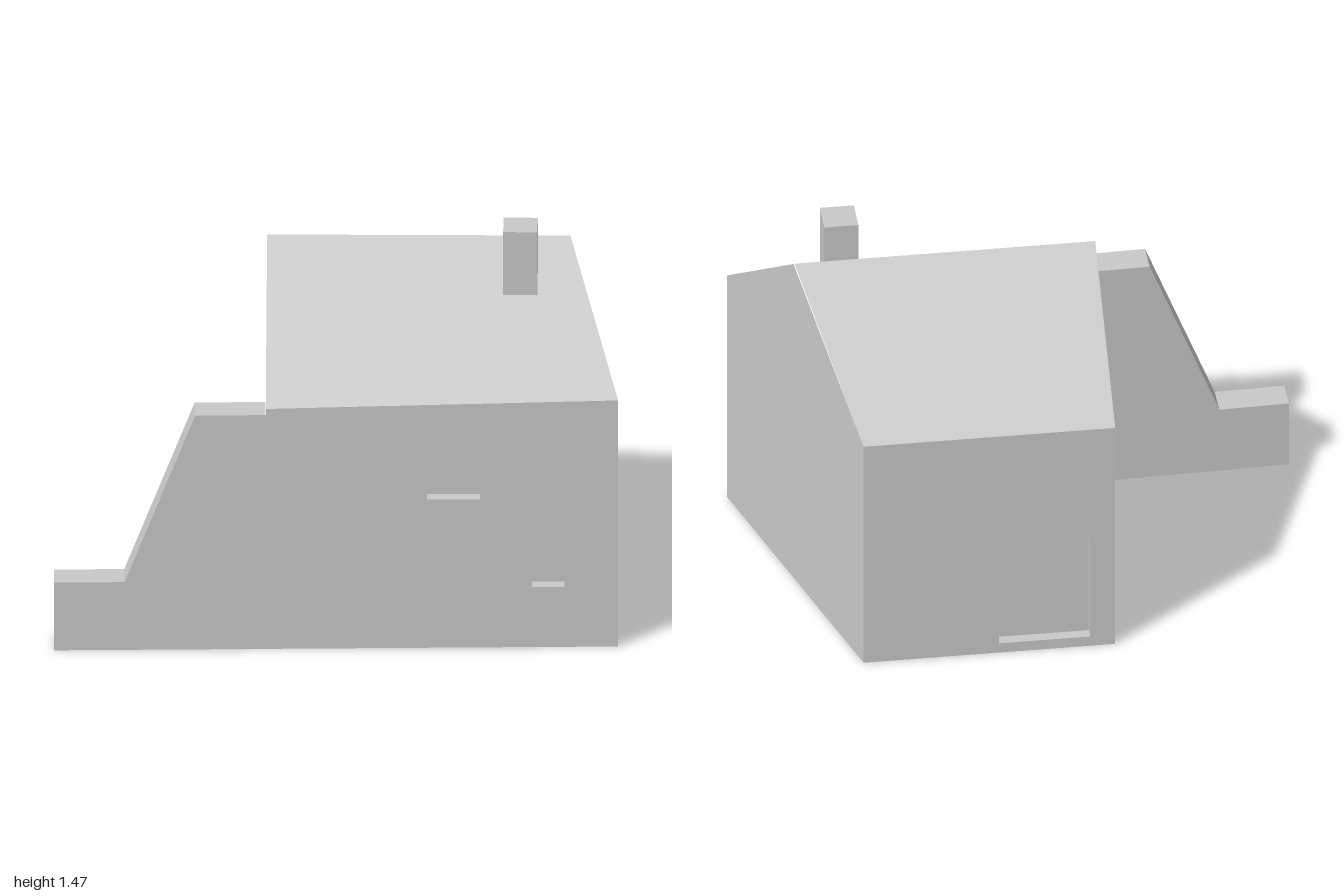
import * as THREE from 'three';

const stone = new THREE.MeshStandardMaterial({ color: 0xc8c8c8 });
stone.name = 'pale grey stone';

const RIDGE_Y = 1.365, RIDGE_Z = -0.01, PITCH = 0.773;
const roofY = (z) => RIDGE_Y - Math.abs(z - RIDGE_Z) * PITCH;

// footprint corners as [x, z]
const frontLeft = [1, 0.51], frontRight = [-0.25, 0.541];
const backRight = [-0.25, -0.56], backLeft = [0.65, -0.56], wingEnd = [-1, 0.56];
const ridgeRight = [-0.25, RIDGE_Z], ridgeLeft = [0.826, RIDGE_Z];

function mesh(name, geometry) {
  const m = new THREE.Mesh(geometry, stone);
  m.name = name;
  return m;
}

// flat-shaded geometry from a list of convex polygons of [x, y, z]
function polygons(...faces) {
  const pos = [];
  for (const f of faces)
    for (let i = 1; i < f.length - 1; i++) pos.push(...f[0], ...f[i], ...f[i + 1]);
  const g = new THREE.BufferGeometry();
  g.setAttribute('position', new THREE.Float32BufferAttribute(pos, 3));
  g.computeVertexNormals();
  return g;
}

const toShape = (pts) => new THREE.Shape(pts.map((p) => new THREE.Vector2(...p)));

// counter-clockwise opening outlines in wall coordinates
const rect = (u0, u1, y0, y1) => [[u0, y0], [u1, y0], [u1, y1], [u0, y1]];
const pointed = (u0, u1, y0, spring, apex) =>
  [[u0, y0], [u1, y0], [u1, spring], [(u0 + u1) / 2, apex], [u0, spring]];

// place a group so its local x runs from a to b and local z points outward
function alongWall(group, a, b) {
  group.position.set(a[0], 0, a[1]);
  group.rotation.y = -Math.atan2(b[1] - a[1], b[0] - a[0]);
  return group;
}

// wall running from a to b (left to right from outside) with recessed openings
function wall(name, a, b, outline, openings = [], depth = 0.045) {
  const group = new THREE.Group();
  group.name = name;
  const shape = toShape(outline);
  for (const o of openings) shape.holes.push(toShape(o));
  group.add(mesh(name + 'Face', new THREE.ShapeGeometry(shape)));
  for (const o of openings) {
    const reveals = o.map((p, i) => {
      const q = o[(i + 1) % o.length];
      return [[...p, 0], [...q, 0], [...q, -depth], [...p, -depth]];
    });
    group.add(mesh('recess', polygons(...reveals, o.map((p) => [...p, -depth]))));
  }
  return alongWall(group, a, b);
}

const dist = (a, b) => Math.hypot(b[0] - a[0], b[1] - a[1]);

// wall outline whose top follows the roof, with an optional ridge point
function outline(a, b, ridge) {
  const len = dist(a, b);
  const pts = [[0, 0], [len, 0], [len, roofY(b[1])]];
  if (ridge) pts.push([dist(a, ridge), RIDGE_Y]);
  pts.push([0, roofY(a[1])]);
  return pts;
}

export function createModel() {
  const model = new THREE.Group();
  model.name = 'house';

  // four walls
  model.add(wall('frontWall', frontRight, frontLeft, outline(frontRight, frontLeft), [
    rect(0.572, 0.76, 0.58, 0.75),
    rect(0.945, 1.06, 0.235, 0.41),
  ]));
  model.add(wall('backWall', backLeft, backRight, outline(backLeft, backRight), [
    pointed(0.485, 0.81, 0.04, 0.467, 0.66),
  ], 0.04));
  model.add(wall('gableWall', backRight, frontRight, outline(backRight, frontRight, ridgeRight), [
    rect(0.61, 0.755, 0.7, 0.875),
    pointed(0.79, 0.905, 0.405, 0.575, 0.635),
    pointed(0.62, 0.76, 0.037, 0.284, 0.37),
  ], 0.055));
  model.add(wall('slantedWall', frontLeft, backLeft, outline(frontLeft, backLeft, ridgeLeft)));

  // roof slopes and underside
  const eave = ([x, z]) => [x, roofY(z), z];
  model.add(mesh('roof', polygons(
    [eave(frontRight), eave(frontLeft), eave(ridgeLeft), eave(ridgeRight)],
    [eave(backLeft), eave(backRight), eave(ridgeRight), eave(ridgeLeft)],
  )));
  model.add(mesh('floor', polygons(
    [frontRight, backRight, backLeft, frontLeft].map(([x, z]) => [x, 0, z]),
  )));

  // stepped wing wall continuing the front
  const wingLength = dist(wingEnd, frontRight);
  const wing = mesh('wingWall', new THREE.ExtrudeGeometry(toShape([
    [0, 0], [wingLength, 0], [wingLength, 0.915], [0.5, 0.915], [0.25, 0.265], [0, 0.265],
  ]), { depth: 0.11, bevelEnabled: false }));
  wing.geometry.translate(0, 0, -0.11);
  model.add(alongWall(wing, wingEnd, frontRight));

  // chimney, its foot sunk into the roof
  const chimney = mesh('chimney', new THREE.BoxGeometry(0.122, 0.265, 0.122));
  chimney.position.set(0.65, 1.3325, 0.117);
  model.add(chimney);

  return model;
}
